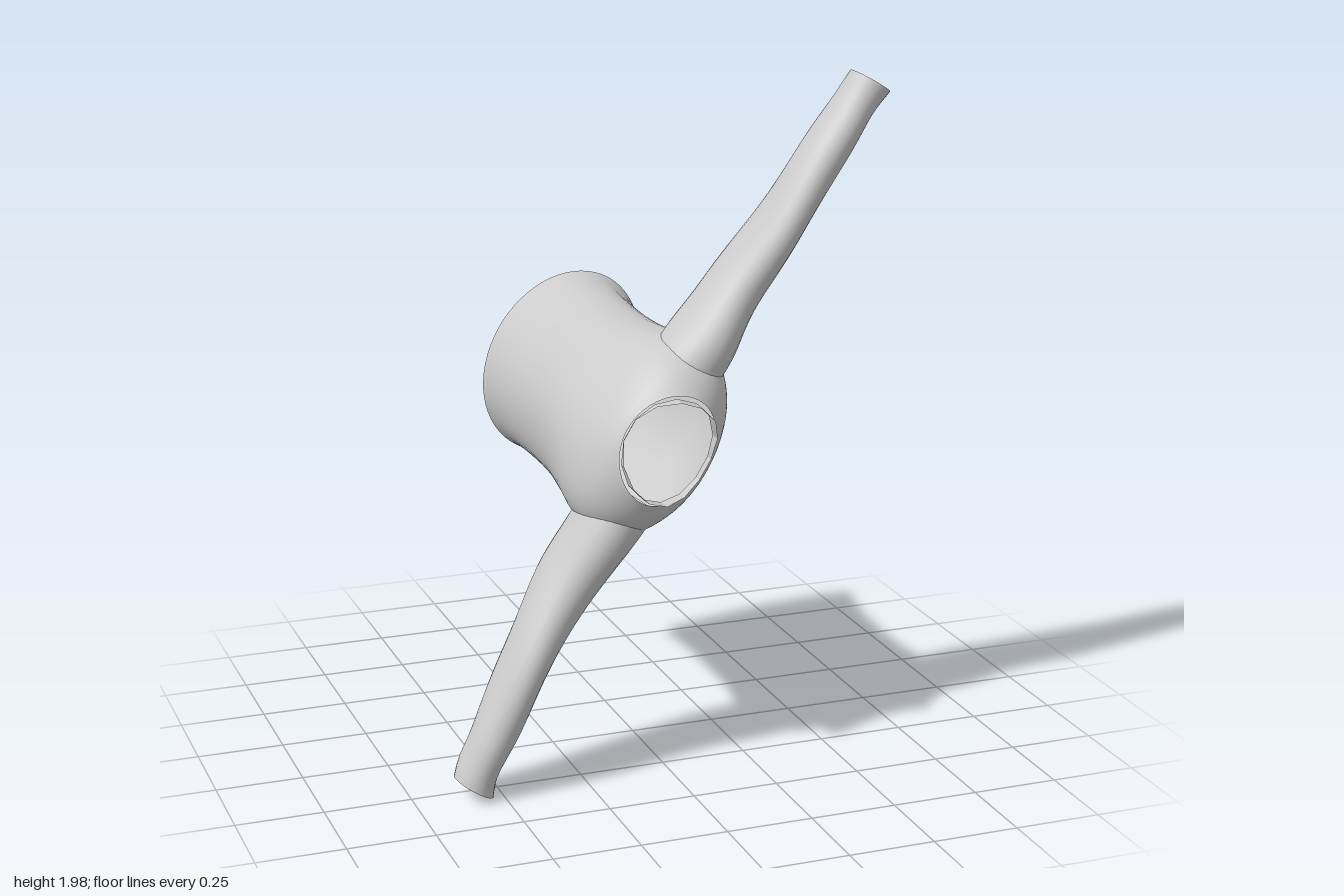
import * as THREE from 'three';

const U = new THREE.Vector3(0.52, 0.854, 0); // shoulder line
const V = new THREE.Vector3(-0.854, 0.52, 0); // across the chest
const Z = new THREE.Vector3(0, 0, 1); // hem to neck

const cloth = new THREE.MeshStandardMaterial({ color: 0xcccccc, side: THREE.DoubleSide });
const stiff = new THREE.MeshStandardMaterial({ color: 0xcccccc, side: THREE.DoubleSide, flatShading: true });

// Smooth interpolation between rows of numbers
function rowAt(rows, t) {
  const i = Math.min(Math.floor(t), rows.length - 2), f = t - i;
  const at = (k) => rows[Math.max(0, Math.min(rows.length - 1, k))];
  return rows[i].map((p1, c) => {
    const p0 = at(i - 1)[c], p2 = at(i + 1)[c], p3 = at(i + 2)[c];
    const m1 = (p2 - p0) / 2, m2 = (p3 - p1) / 2;
    return p1 + f * (m1 + f * (3 * (p2 - p1) - 2 * m1 - m2 + f * (2 * (p1 - p2) + m1 + m2)));
  });
}

// Open tube of rings; row = [x, y, z, radius1, radius2, saddle, tilt]
function loft(name, rows, e1, e2, sides, steps, material, wrinkle = () => 0) {
  const n = (rows.length - 1) * steps;
  const pos = [], idx = [], p = new THREE.Vector3();
  for (let i = 0; i <= n; i++) {
    const [x, y, z, r1, r2, saddle = 0, tilt = 0] = rowAt(rows, i / steps);
    for (let j = 0; j < sides; j++) {
      const a = (j / sides) * Math.PI * 2, k = 1 + wrinkle(i / n, a);
      p.set(x, y, z + saddle * Math.cos(2 * a) + tilt * Math.sin(a));
      p.addScaledVector(e1, r1 * k * Math.cos(a)).addScaledVector(e2, r2 * k * Math.sin(a));
      pos.push(p.x, p.y, p.z);
      if (i < n) {
        const j2 = (j + 1) % sides, q = i * sides, w = q + sides;
        idx.push(q + j, q + j2, w + j2, q + j, w + j2, w + j);
      }
    }
  }
  const g = new THREE.BufferGeometry();
  g.setAttribute('position', new THREE.Float32BufferAttribute(pos, 3));
  g.setIndex(idx);
  g.computeVertexNormals();
  const mesh = new THREE.Mesh(g, material);
  mesh.name = name;
  return mesh;
}

export function createModel() {
  const group = new THREE.Group();
  group.name = 'shirt';

  // Body: flared hem, straight trunk, shoulders closing to the neckline
  const body = [
    [-0.05, 1.025, -0.487, 0.289, 0.235, 0, 0.007],
    [-0.06, 1.025, -0.37, 0.272, 0.214, 0, 0],
    [-0.063, 1.022, -0.2, 0.264, 0.204, 0, 0],
    [-0.066, 1.02, 0, 0.266, 0.205, 0, 0],
    [-0.06, 1.01, 0.13, 0.282, 0.21, 0, 0],
    [-0.057, 1.0, 0.23, 0.3, 0.2, 0, 0],
    [-0.055, 1.0, 0.32, 0.29, 0.18, 0, 0],
    [-0.055, 1.0, 0.39, 0.235, 0.155, 0.005, 0],
    [-0.055, 1.005, 0.43, 0.16, 0.13, 0.015, 0],
  ];
  // Long soft folds, with a puckered seam above the hem on the lower-right side
  const bodyFolds = (t, a) => {
    const seam = Math.exp(-(((t - 0.13) / 0.025) ** 2)) * Math.max(0, Math.cos(a + 0.9));
    return 0.006 * Math.sin(7 * a + 3 * t) * Math.sin(Math.PI * t) + seam * 0.018 * Math.sin(15 * a);
  };
  group.add(loft('body', body, U, V, 64, 6, cloth, bodyFolds));

  // Sleeves: [x, y, z, half width, half depth]
  const leftSleeve = [
    [0.06, 1.2, 0.27, 0.1, 0.125],
    [0.11, 1.27, 0.265, 0.092, 0.13],
    [0.2, 1.4, 0.258, 0.074, 0.118],
    [0.325, 1.58, 0.282, 0.064, 0.104],
    [0.455, 1.78, 0.296, 0.06, 0.086],
    [0.54, 1.9, 0.293, 0.057, 0.073],
    [0.585, 1.96, 0.297, 0.061, 0.066],
  ];
  const rightSleeve = [
    [-0.13, 0.84, 0.27, 0.105, 0.12],
    [-0.185, 0.75, 0.265, 0.095, 0.127],
    [-0.3, 0.59, 0.257, 0.08, 0.116],
    [-0.425, 0.39, 0.288, 0.065, 0.1],
    [-0.515, 0.2, 0.295, 0.062, 0.085],
    [-0.565, 0.1, 0.293, 0.058, 0.074],
    [-0.582, 0.04, 0.296, 0.063, 0.066],
  ];
  const sleeveFolds = (t, a) => 0.025 * Math.sin(2 * a + 22 * t) * Math.sin(Math.PI * t);
  group.add(loft('leftSleeve', leftSleeve, V, Z, 28, 6, cloth, sleeveFolds));
  group.add(loft('rightSleeve', rightSleeve, V.clone().negate(), Z, 28, 6, cloth, sleeveFolds));

  // Collar: stiff faceted band, high at the shoulders and low at front and back
  const collar = [
    [-0.055, 1.005, 0.425, 0.15, 0.126, 0.015],
    [-0.055, 1.005, 0.46, 0.148, 0.132, 0.035],
  ];
  group.add(loft('collar', collar, U, V, 14, 1, stiff));

  return group;
}
